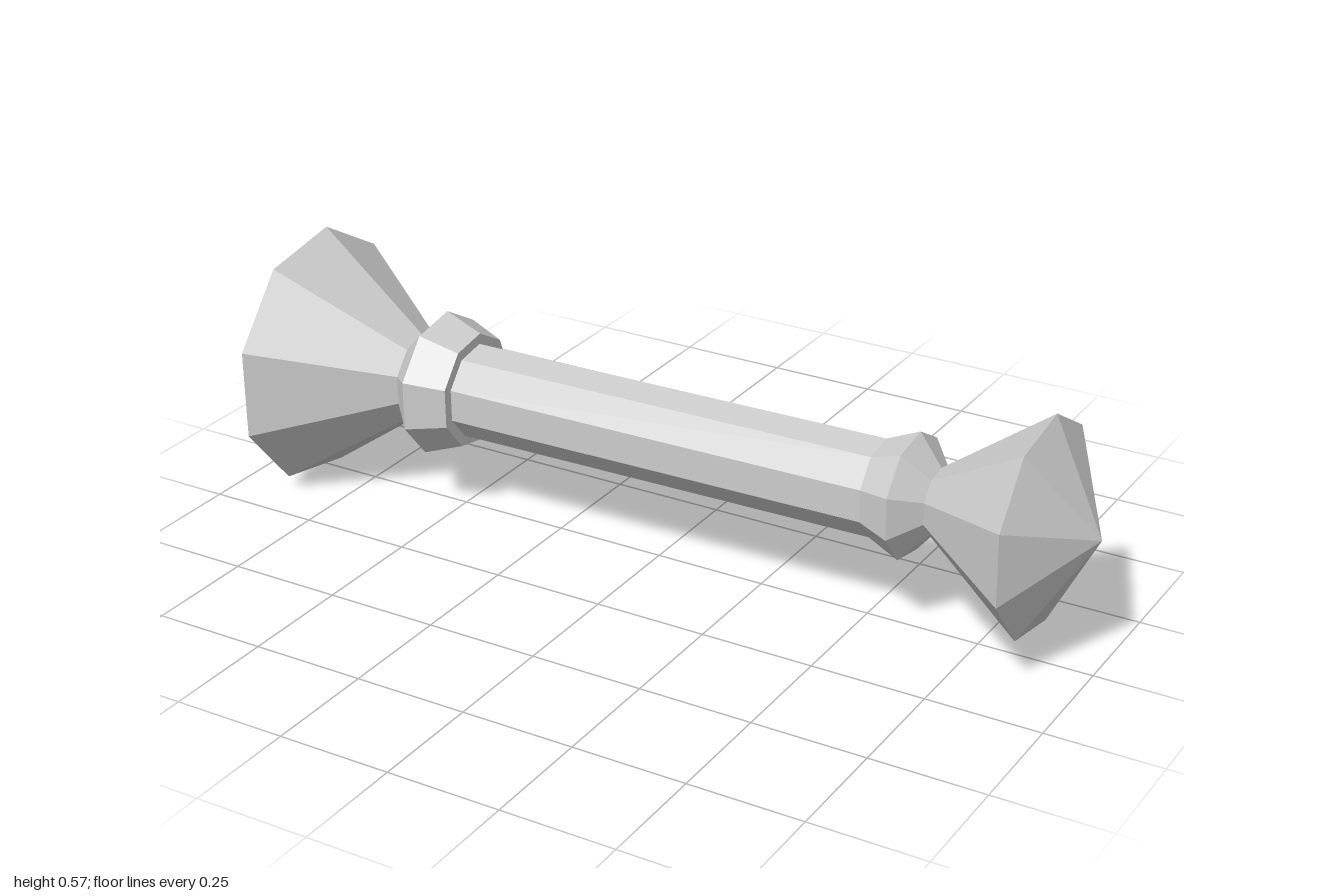
import * as THREE from 'three';

const SIDES = 9;
const material = new THREE.MeshStandardMaterial({ color: 0xcccccc, flatShading: true, side: THREE.DoubleSide });

// Nine-sided turned part lying along x; profile is a list of [x, radius].
function turned(name, profile) {
  const points = profile.map(([x, r]) => new THREE.Vector2(r, x));
  const geometry = new THREE.LatheGeometry(points, SIDES, Math.PI);
  geometry.rotateZ(-Math.PI / 2);
  const mesh = new THREE.Mesh(geometry, material);
  mesh.name = name;
  return mesh;
}

export function createModel() {
  const group = new THREE.Group();
  group.name = 'handle';

  const axis = new THREE.Group();
  axis.name = 'turnedBody';
  axis.add(
    // Large pointed knob
    turned('largeKnob', [[-1, 0], [-0.88, 0.289], [-0.605, 0.093]]),
    // Stepped collar beside the large knob
    turned('largeCollar', [[-0.605, 0.093], [-0.545, 0.16], [-0.457, 0.127], [-0.457, 0.1035]]),
    // Straight grip
    turned('shaft', [[-0.457, 0.1035], [0.525, 0.1035]]),
    // Flared collar beside the small knob
    turned('smallCollar', [[0.525, 0.1035], [0.597, 0.134], [0.65, 0.07]]),
    // Small pointed knob
    turned('smallKnob', [[0.65, 0.07], [0.877, 0.231], [1, 0]])
  );

  // The axis rises slightly towards the small knob
  axis.rotation.z = 0.0115;
  axis.position.set(0, 0.295, 0.0087);
  group.add(axis);
  return group;
}
